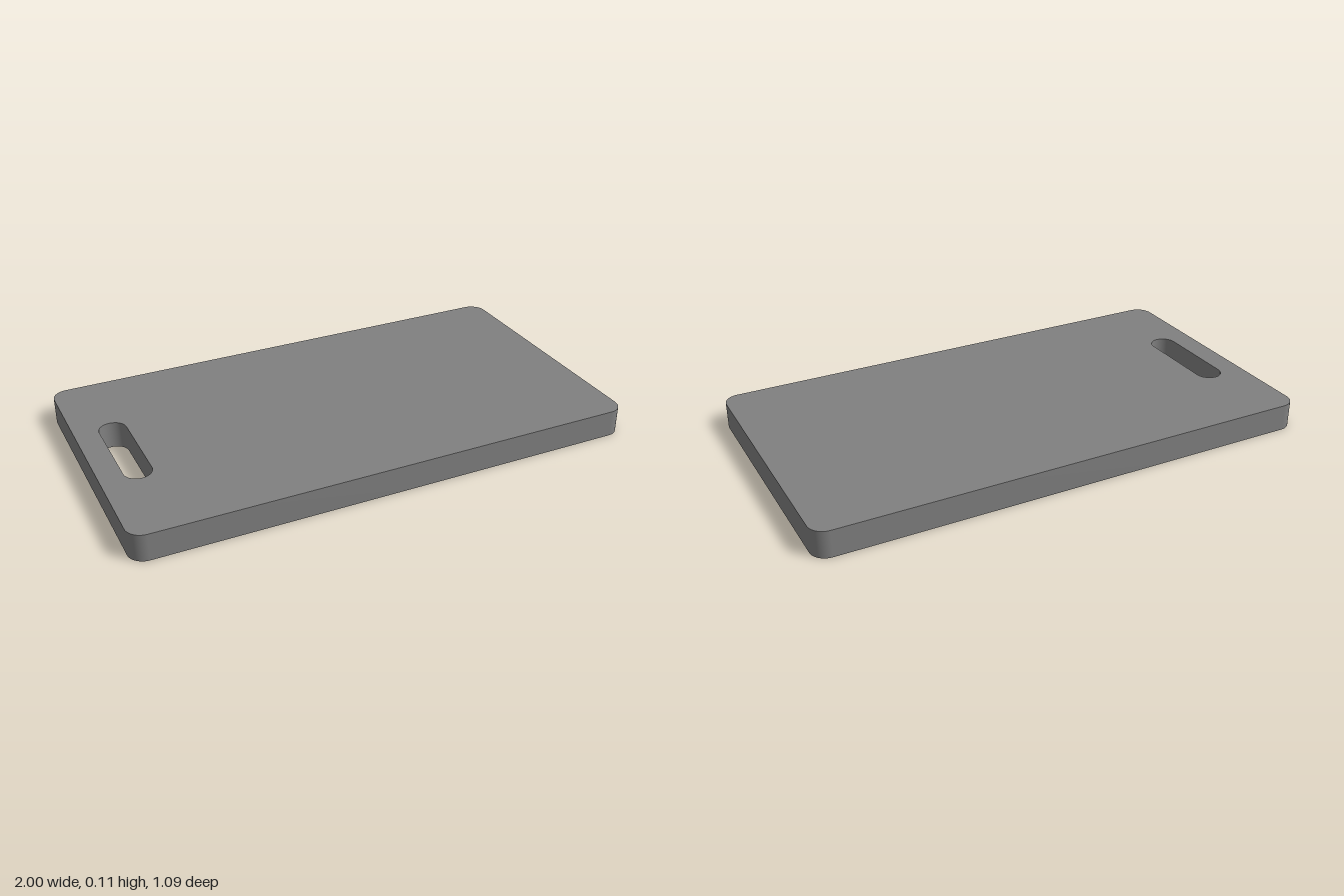
import * as THREE from 'three';
import { toCreasedNormals } from 'three/addons/utils/BufferGeometryUtils.js';

// Traces a rounded rectangle centred on (cx, 0) with half sizes w, h and corner radius r
function roundedRect(path, cx, w, h, r) {
  const corners = [[1, 1], [-1, 1], [-1, -1], [1, -1]];
  path.moveTo(cx + w, h - r);
  corners.forEach(([sx, sy], i) => {
    const start = i * Math.PI / 2;
    path.absarc(cx + sx * (w - r), sy * (h - r), r, start, start + Math.PI / 2, false);
  });
  path.closePath();
  return path;
}

export function createModel() {
  const group = new THREE.Group();
  group.name = 'cuttingBoard';

  // Rounded slab with a stadium-shaped handle slot near its right end, drawn in
  // hundredths of a unit so that the small arcs are smoothed accurately
  const outline = roundedRect(new THREE.Shape(), 0, 100, 54.7, 6.2);
  outline.holes.push(roundedRect(new THREE.Path(), -85.4, 5.3, 21.2, 5.29));

  const slab = new THREE.ExtrudeGeometry(outline, { depth: 10.6, bevelEnabled: false, curveSegments: 12 });
  slab.rotateX(-Math.PI / 2);

  const board = new THREE.Mesh(
    toCreasedNormals(slab, 0.6).scale(0.01, 0.01, 0.01),
    new THREE.MeshStandardMaterial({ color: 0x808080 })
  );
  board.name = 'board';
  group.add(board);
  return group;
}
